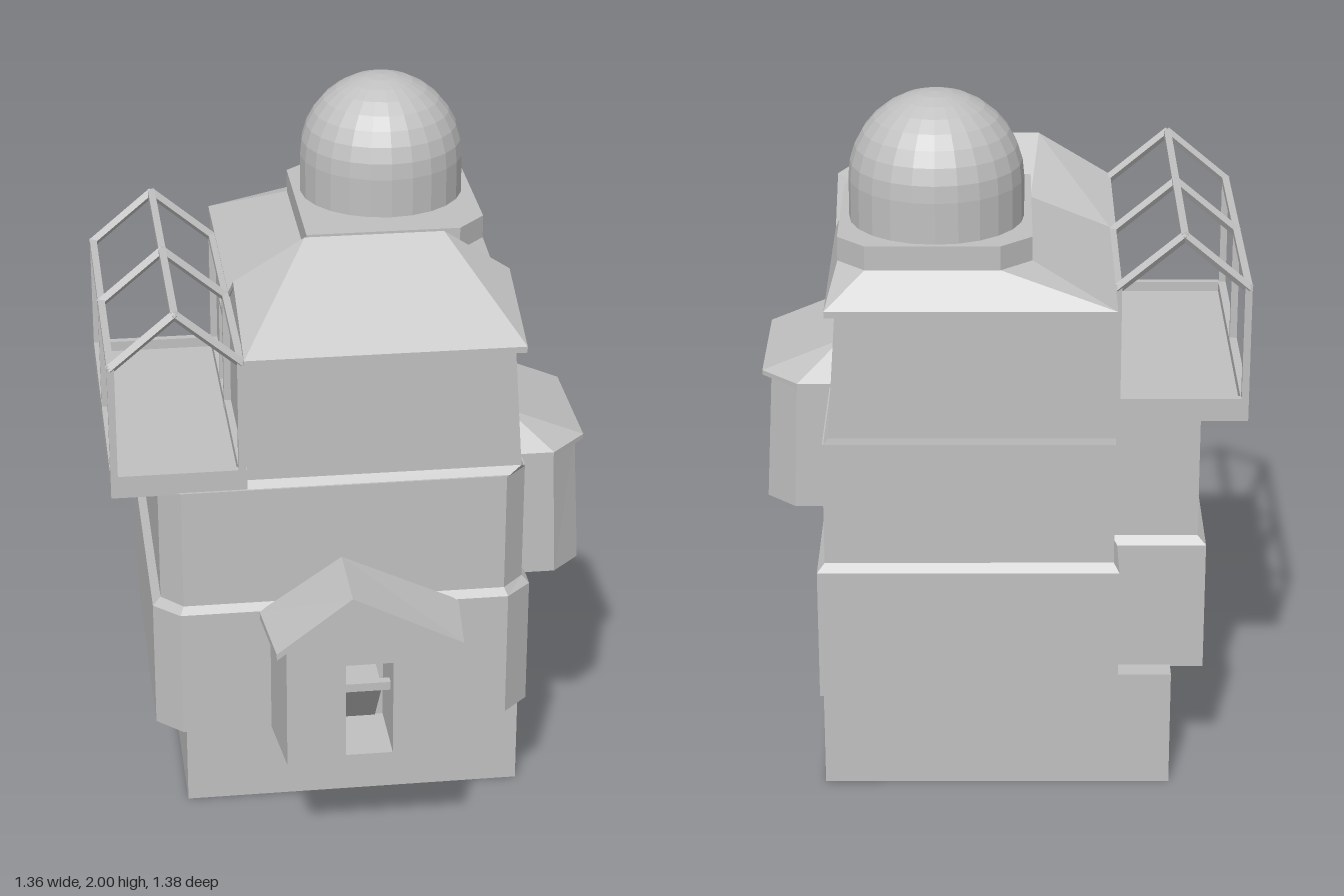
import * as THREE from 'three';

const stone = new THREE.MeshStandardMaterial({ color: 0xc0c0c0 });
stone.name = 'pale grey';

// Flat-faced mesh from any geometry
function part(name, geometry, parent) {
  const g = geometry.index ? geometry.toNonIndexed() : geometry;
  g.computeVertexNormals();
  const mesh = new THREE.Mesh(g, stone);
  mesh.name = name;
  parent.add(mesh);
  return mesh;
}

function box(name, x0, x1, y0, y1, z0, z1, parent) {
  const m = part(name, new THREE.BoxGeometry(x1 - x0, y1 - y0, z1 - z0), parent);
  m.position.set((x0 + x1) / 2, (y0 + y1) / 2, (z0 + z1) / 2);
  return m;
}

function fromPolygons(points, polygons) {
  const pos = [];
  for (const p of polygons)
    for (let i = 1; i < p.length - 1; i++)
      for (const k of [p[0], p[i], p[i + 1]]) pos.push(...points[k]);
  const g = new THREE.BufferGeometry();
  g.setAttribute('position', new THREE.Float32BufferAttribute(pos, 3));
  return g;
}

// Stack of [y, footprint] levels, footprint = [x, z] points running front, right, back, left
function loft(levels) {
  const n = levels[0][1].length, points = [], polys = [];
  levels.forEach(([y, ring]) => ring.forEach(([x, z]) => points.push([x, y, z])));
  for (let l = 0; l < levels.length - 1; l++)
    for (let i = 0; i < n; i++) {
      const a = l * n + i, b = l * n + (i + 1) % n;
      polys.push([a, b, b + n, a + n]);
    }
  const cap = (l, flip) => {
    const flat = levels[l][1].map(([x, z]) => new THREE.Vector2(x, -z));
    for (const f of THREE.ShapeUtils.triangulateShape(flat, [])) {
      const t = f.map(k => k + l * n);
      polys.push(flip ? t.reverse() : t);
    }
  };
  cap(0, true);
  cap(levels.length - 1, false);
  return fromPolygons(points, polys);
}

function beam(name, a, b, size, parent) {
  const p = new THREE.Vector3(...a), q = new THREE.Vector3(...b);
  const dir = q.clone().sub(p);
  const m = part(name, new THREE.BoxGeometry(size, size, dir.length() + size * 0.5), parent);
  m.position.copy(p).add(q).multiplyScalar(0.5);
  m.quaternion.setFromUnitVectors(new THREE.Vector3(0, 0, 1), dir.normalize());
}

const shapeOf = pts => new THREE.Shape(pts.map(p => new THREE.Vector2(...p)));
const extrude = (shape, depth) => new THREE.ExtrudeGeometry(shape, { depth, bevelEnabled: false });

// Widen the outer edges of a porch piece towards its back
function flare(geometry, depth, amount) {
  const p = geometry.attributes.position;
  for (let i = 0; i < p.count; i++) {
    const x = p.getX(i);
    if (Math.abs(x) > 0.2) p.setX(i, x + Math.sign(x) * amount * (1 - p.getZ(i) / depth));
  }
  return geometry;
}

function makeBody(root) {
  const g = new THREE.Group();
  g.name = 'tower';
  root.add(g);
  box('plinth', -0.48, 0.5, 0, 0.345, -0.57, 0.28, g);

  const lower = [[-0.5, 0.455], [0.43, 0.455], [0.503, 0.385], [0.503, -0.685],
    [-0.325, -0.685], [-0.325, -0.51], [-0.573, -0.51], [-0.573, 0.385]];
  const middle = [[-0.49, 0.44], [0.42, 0.44], [0.482, 0.375], [0.482, -0.663],
    [-0.31, -0.663], [-0.31, -0.49], [-0.55, -0.49], [-0.55, 0.375]];
  part('lowerStoreys', loft([[0.34, lower], [0.72, lower], [0.742, middle], [1.095, middle]]), g);

  // Upper storey: the chamfered corner closes to a sharp one, right wall leans in
  const skirt = [[-0.308, 0.44], [0.42, 0.44], [0.482, 0.375], [0.482, -0.663], [-0.308, -0.663]];
  const wall = r => [[-0.308, 0.412], [r, 0.412], [r, 0.412], [r, -0.66], [-0.308, -0.66]];
  part('upperStorey', loft([[1.09, skirt], [1.113, wall(0.465)], [1.475, wall(0.44)]]), g);

  const gable = part('gableWall', extrude(shapeOf([[-0.412, 1.47], [0.03, 1.47], [-0.14, 1.578]]), 0.746), g);
  gable.rotation.y = Math.PI / 2;
  gable.position.x = -0.307;
}

function makeRoof(root) {
  const g = new THREE.Group();
  g.name = 'roof';
  root.add(g);
  const deck = [[-0.085, -0.035], [0.355, -0.035], [0.435, -0.12], [0.435, -0.55],
    [0.36, -0.625], [0, -0.625], [-0.085, -0.55]];
  // Eave outline, ridge ends, then the platform outline
  const top = [
    [-0.31, 1.487, 0.44], [0.467, 1.487, 0.44], [0.467, 1.593, 0.14], [0.467, 1.49, -0.03],
    [0.467, 1.49, -0.69], [-0.31, 1.49, -0.69], [-0.31, 1.49, -0.03], [-0.31, 1.593, 0.14],
    [-0.11, 1.715, 0.14], [0.28, 1.715, 0.14], ...deck.map(([x, z]) => [x, 1.583, z])];
  const faces = [[0, 1, 9, 8], [1, 2, 9], [2, 3, 11, 9], [8, 9, 11, 10], [6, 7, 8, 10], [7, 0, 8],
    [3, 12, 11], [3, 4, 13, 12], [4, 14, 13], [4, 5, 15, 14], [5, 16, 15], [5, 6, 10, 16]];
  const n = top.length;
  const points = [...top, ...top.map(([x, y, z]) => [x, y - 0.018, z])];
  const under = faces.map(f => f.map(k => k + n).reverse());
  const edges = [0, 1, 2, 3, 4, 5, 6, 7].map(i => [i + n, (i + 1) % 8 + n, (i + 1) % 8, i]);
  part('hippedRoof', fromPolygons(points, [...faces, ...under, ...edges]), g);
  part('domePlatform', loft([[1.565, deck], [1.65, deck]]), g);

  const profile = [new THREE.Vector2(0.237, 1.645)];
  for (let i = 0; i <= 8; i++) {
    const a = i / 8 * Math.PI / 2;
    profile.push(new THREE.Vector2(0.237 * Math.cos(a), 1.763 + 0.237 * Math.sin(a)));
  }
  const dome = part('dome', new THREE.LatheGeometry(profile, 24), g);
  dome.position.set(0.173, 0, -0.375);
}

function makePorch(root) {
  const g = new THREE.Group();
  g.name = 'porch';
  root.add(g);
  const front = shapeOf([[-0.225, 0.34], [0.232, 0.34], [0.232, 0.705], [-0.045, 0.862], [-0.225, 0.705]]);
  front.holes.push(new THREE.Path([[-0.06, 0.36], [-0.06, 0.65], [0.073, 0.65], [0.073, 0.36]]
    .map(p => new THREE.Vector2(...p))));
  part('porchWalls', flare(extrude(front, 0.22), 0.22, 0.024), g).position.z = 0.445;
  const roof = shapeOf([[-0.255, 0.697], [-0.045, 0.858], [0.265, 0.697], [0.265, 0.717],
    [-0.045, 0.876], [-0.255, 0.717]]);
  part('porchRoof', flare(extrude(roof, 0.245), 0.245, 0.023), g).position.z = 0.45;
  // Leaning panel inside the doorway
  beam('doorLintel', [-0.06, 0.545, 0.6], [0.073, 0.545, 0.6], 0.025, g);
  const lean = shapeOf([[-0.6, 0.535], [-0.46, 0.36], [-0.455, 0.36], [-0.455, 0.535]]);
  const panel = part('doorPanel', extrude(lean, 0.11), g);
  panel.rotation.y = Math.PI / 2;
  panel.position.x = -0.06;
}

function makeBay(root) {
  const g = new THREE.Group();
  g.name = 'bayWindow';
  root.add(g);
  const plan = (inner, mid, outer, z0, z1, f0, f1) =>
    [[inner, z1], [mid, z1], [outer, f1], [outer, f0], [mid, z0], [inner, z0]];
  part('bayWalls', loft([
    [0.715, plan(0.44, 0.59, 0.672, -0.24, 0.313, -0.163, 0.232)],
    [1.1, plan(0.44, 0.575, 0.652, -0.24, 0.313, -0.163, 0.232)]]), g);
  const eave = plan(0.44, 0.573, 0.678, -0.265, 0.332, -0.163, 0.226);
  const ridge = plan(0.44, 0.455, 0.457, -0.163, 0.226, -0.162, 0.225);
  part('bayRoof', loft([[1.092, eave], [1.106, eave], [1.197, ridge]]), g);
}

function makeBalcony(root) {
  const g = new THREE.Group();
  g.name = 'balcony';
  root.add(g);
  const x0 = -0.68, x1 = -0.305, z0 = -0.49, z1 = 0.432, t = 0.022;
  box('balconyFloor', x0, x1, 1.09, 1.125, z0, z1, g);
  box('outerKerb', x0, x0 + t, 1.12, 1.155, z0, z1, g);
  box('innerKerb', x1 - t, x1, 1.12, 1.155, z0, z1, g);
  for (const z of [z0, z1 - t]) box('endKerb', x0, x1, 1.12, 1.155, z, z + t, g);

  // Open pitched frame
  const out = -0.67, inn = -0.318, mid = -0.494, eave = 1.477, peak = 1.625, s = 0.02;
  const frames = [-0.48, -0.03, 0.422];
  for (const z of frames) {
    for (const x of [out, inn]) {
      beam('post', [x, 1.13, z], [x, eave, z], s, g);
      beam('rafter', [x, eave, z], [mid, peak, z], s, g);
    }
  }
  for (const [x, y] of [[out, eave], [mid, peak], [inn, eave]])
    beam('rail', [x, y, frames[0]], [x, y, frames[2]], s, g);

  // Balcony door frame
  for (const z of [-0.185, -0.05]) box('doorJamb', -0.326, -0.3, 1.125, 1.42, z, z + 0.018, g);
  box('doorHead', -0.326, -0.3, 1.402, 1.42, -0.185, -0.032, g);
}

export function createModel() {
  const root = new THREE.Group();
  root.name = 'observatoryHouse';
  makeBody(root);
  makeRoof(root);
  makePorch(root);
  makeBay(root);
  makeBalcony(root);
  return root;
}
